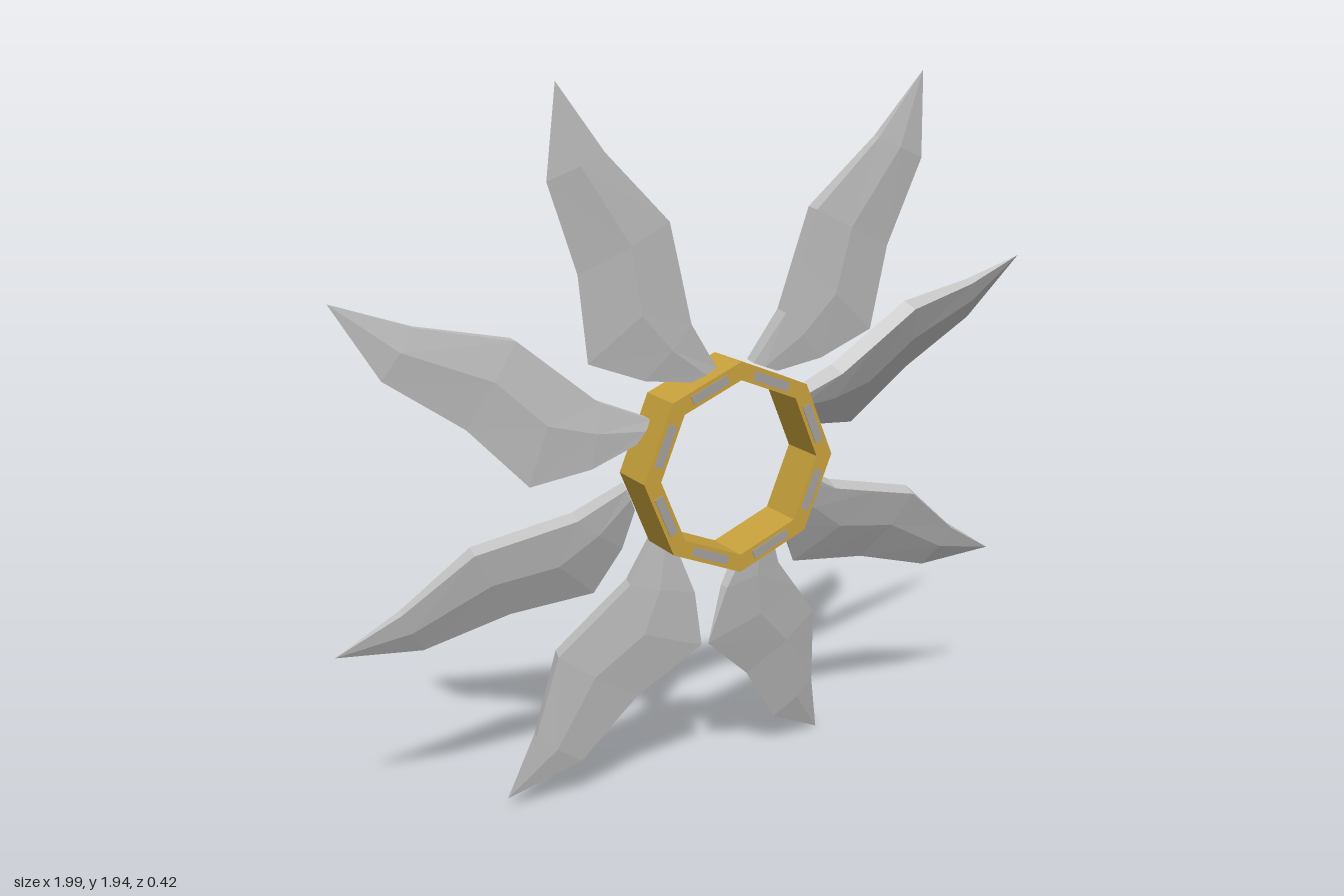
import * as THREE from 'three';

const gold = new THREE.MeshStandardMaterial({ color: 0xc9a23c });
gold.name = 'gold';
const steel = new THREE.MeshStandardMaterial({ color: 0xc2c2c2 });
steel.name = 'steel';
const inlayGrey = new THREE.MeshStandardMaterial({ color: 0xa3a09c });
inlayGrey.name = 'inlay grey';

// Blade stations from root to tip: spine and cutting edge, as shares of
// (shoulder to tip, shoulder to heel), with half-thickness at spine, ridge, edge
const STATIONS = [
  { spine: [-0.78, 0.375], edge: [-0.67, 0.57], half: [0.018, 0.022, 0.018] },
  { spine: [-0.46, 0.32], edge: [-0.38, 0.8], half: [0.022, 0.026, 0.012] },
  { spine: [-0.23, 0.16], edge: [0, 1], half: [0.022, 0.026, 0] },
  { spine: [0, 0], edge: [0.333, 0.667], half: [0.021, 0.025, 0] },
  { spine: [0.557, 0.042], edge: [0.769, 0.435], half: [0.012, 0.016, 0] },
  { spine: [1, 0], edge: [1, 0], half: [0, 0, 0] },
];

// One faceted blade, placed by its shoulder, tip and heel
function bladeGeometry(shoulder, tip, heel) {
  const s = new THREE.Vector3(...shoulder);
  const along = new THREE.Vector3(...tip).sub(s);
  const across = new THREE.Vector3(...heel).sub(s);
  const normal = along.clone().cross(across).normalize();
  const place = ([a, b], h) =>
    s.clone().addScaledVector(along, a).addScaledVector(across, b).addScaledVector(normal, h);

  const rings = STATIONS.map(({ spine, edge, half }) => {
    const ridge = spine.map((v, k) => v + (edge[k] - v) * 0.45);
    const line = [spine, ridge, edge];
    const front = line.map((p, k) => place(p, half[k]));
    const back = line.map((p, k) => place(p, -half[k])).reverse();
    return [...front, ...back];
  });

  const positions = [];
  const tri = (a, b, c) => {
    const area = b.clone().sub(a).cross(c.clone().sub(a)).length();
    if (area > 1e-7) for (const p of [a, b, c]) positions.push(p.x, p.y, p.z);
  };
  for (let i = 0; i < rings.length - 1; i++) {
    for (let j = 0; j < 6; j++) {
      const k = (j + 1) % 6;
      tri(rings[i][j], rings[i + 1][j], rings[i + 1][k]);
      tri(rings[i][j], rings[i + 1][k], rings[i][k]);
    }
  }
  // root cap
  for (let j = 1; j < 5; j++) tri(rings[0][0], rings[0][j], rings[0][j + 1]);

  const geo = new THREE.BufferGeometry();
  geo.setAttribute('position', new THREE.Float32BufferAttribute(positions, 3));
  geo.computeVertexNormals();
  return geo;
}

// Shoulder, tip and heel of every blade
const BLADES = {
  bladeTopLeft: [[0.2, 1.61, 0.16], [0.49, 1.94, 0.21], [0.4, 1.28, 0.14]],
  bladeTopRight: [[-0.22, 1.61, 0.16], [-0.52, 1.94, 0.21], [-0.42, 1.28, 0.14]],
  bladeUpperLeft: [[0.56, 1.32, 0.1], [0.99, 1.41, 0.03], [0.49, 0.97, -0.06]],
  bladeUpperRight: [[-0.57, 1.34, 0.05], [-1, 1.46, 0.015], [-0.54, 0.97, 0.05]],
  bladeLowerLeft: [[0.62, 0.78, 0.05], [0.98, 0.52, -0.03], [0.29, 0.6, -0.04]],
  bladeLowerRight: [[-0.64, 0.78, -0.09], [-0.97, 0.52, -0.21], [-0.3, 0.6, -0.1]],
  bladeBottomLeft: [[0.37, 0.43, -0.08], [0.46, 0.005, -0.16], [-0.02, 0.44, 0.02]],
  bladeBottomRight: [[-0.42, 0.46, -0.08], [-0.54, 0.035, -0.16], [-0.04, 0.44, 0.02]],
};

function octagon(PathType, radius) {
  const points = [];
  for (let i = 0; i < 8; i++) {
    const a = (i * Math.PI) / 4;
    points.push(new THREE.Vector2(radius * Math.cos(a), radius * Math.sin(a)));
  }
  return new PathType(points);
}

// Octagonal ring with a grey inlay bar in each side, flush front and back
function createRing() {
  const ring = new THREE.Group();
  ring.name = 'ring';
  const depth = 0.13;
  const shape = octagon(THREE.Shape, 0.277);
  shape.holes.push(octagon(THREE.Path, 0.23));
  const body = new THREE.Mesh(
    new THREE.ExtrudeGeometry(shape, { depth, bevelEnabled: false }), gold);
  body.name = 'ringBody';
  body.position.z = -depth / 2;
  ring.add(body);

  const barGeo = new THREE.BoxGeometry(0.024, 0.11, depth + 0.004);
  for (let i = 0; i < 8; i++) {
    const a = ((i + 0.5) * Math.PI) / 4;
    const bar = new THREE.Mesh(barGeo, inlayGrey);
    bar.name = 'ringInlay';
    bar.position.set(0.234 * Math.cos(a), 0.234 * Math.sin(a), 0);
    bar.rotation.z = a;
    ring.add(bar);
  }
  ring.position.set(-0.012, 0.968, 0.105);
  return ring;
}

export function createModel() {
  const model = new THREE.Group();
  model.name = 'bladedRing';
  model.add(createRing());
  for (const [name, corners] of Object.entries(BLADES)) {
    const blade = new THREE.Mesh(bladeGeometry(...corners), steel);
    blade.name = name;
    model.add(blade);
  }
  return model;
}
